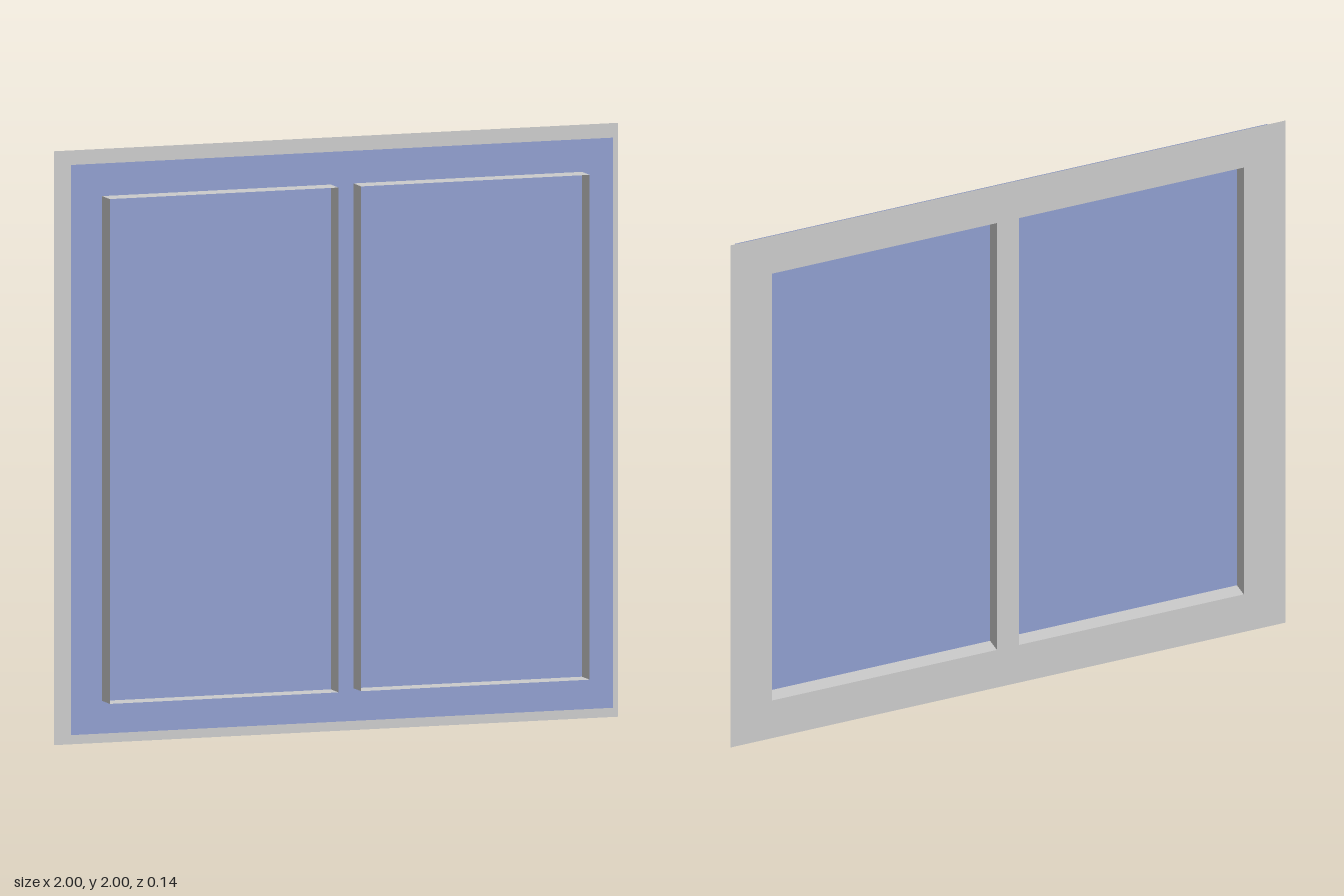
import * as THREE from 'three';

const DEPTH = 0.136;               // depth of the opening liners
const BACK = -DEPTH / 2;
const GLASS_Z = -0.008;
const OPENING = { w: 0.81, h: 1.7, x: 0.445, y: 1 };

const frameMaterial = new THREE.MeshStandardMaterial({ color: 0xcccccc, side: THREE.DoubleSide });
const glassMaterial = new THREE.MeshStandardMaterial({ color: 0x8f9ecf, side: THREE.DoubleSide });

function addMesh(parent, name, geometry, material) {
  const mesh = new THREE.Mesh(geometry, material);
  mesh.name = name;
  parent.add(mesh);
  return mesh;
}

function trace(path, x0, y0, x1, y1) {
  path.moveTo(x0, y0);
  path.lineTo(x1, y0);
  path.lineTo(x1, y1);
  path.lineTo(x0, y1);
  path.closePath();
  return path;
}

// Four thin walls lining one opening, open at front and back
function createLiner(name) {
  const { w, h } = OPENING;
  const liner = new THREE.Group();
  liner.name = name;
  for (const s of [-1, 1]) {
    const side = addMesh(liner, s > 0 ? 'leftWall' : 'rightWall', new THREE.PlaneGeometry(DEPTH, h), frameMaterial);
    side.position.x = s * w / 2;
    side.rotation.y = s * Math.PI / 2;
    const rail = addMesh(liner, s > 0 ? 'topWall' : 'bottomWall', new THREE.PlaneGeometry(w, DEPTH), frameMaterial);
    rail.position.y = s * h / 2;
    rail.rotation.x = -s * Math.PI / 2;
  }
  return liner;
}

export function createModel() {
  const model = new THREE.Group();
  model.name = 'window';

  // Flat back frame with two tall openings
  const shape = trace(new THREE.Shape(), -1, 0, 1, 2);
  const { w, h, x, y } = OPENING;
  for (const s of [-1, 1]) {
    shape.holes.push(trace(new THREE.Path(), s * x - w / 2, y - h / 2, s * x + w / 2, y + h / 2));
    const liner = createLiner(s > 0 ? 'leftOpening' : 'rightOpening');
    liner.position.set(s * x, y, 0);
    model.add(liner);
  }
  addMesh(model, 'frame', new THREE.ShapeGeometry(shape), frameMaterial).position.z = BACK;

  // Single glass sheet crossing both openings
  addMesh(model, 'glass', new THREE.PlaneGeometry(1.92, 1.92), glassMaterial).position.set(0, 1, GLASS_Z);

  return model;
}
